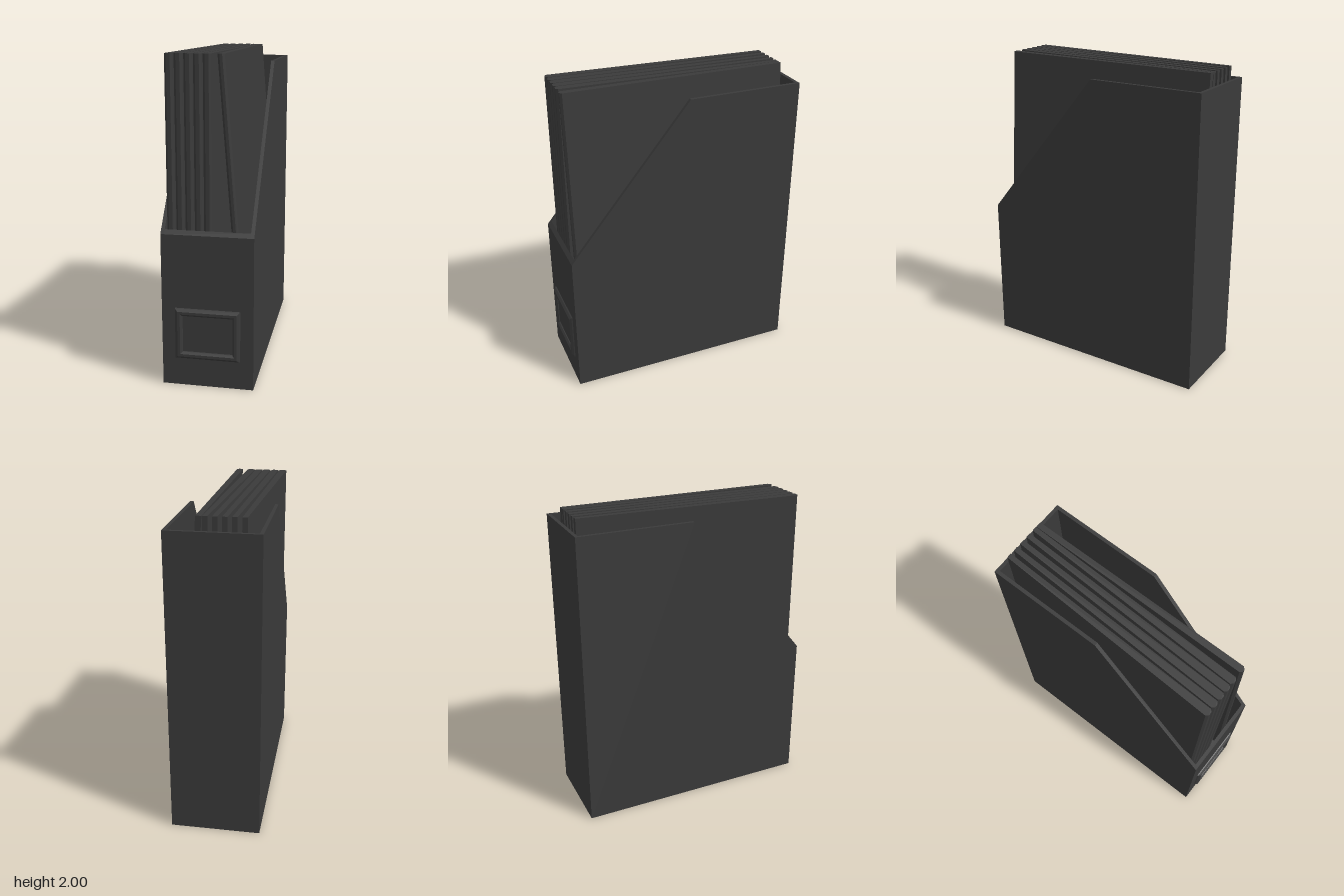
import * as THREE from 'three';

const material = new THREE.MeshStandardMaterial({ color: 0x3a3a3a, flatShading: true });
const W = 0.28, WALL = 0.022, FRONT = 0.755, BACK = -0.775, TOP = 1.92, LIP = 0.955;
const FLOOR = 0.025;

function add(group, name, geometry) {
  const mesh = new THREE.Mesh(geometry, material);
  mesh.name = name;
  group.add(mesh);
  return mesh;
}

const toShape = (points) => new THREE.Shape(points.map(([a, b]) => new THREE.Vector2(a, b)));

// Extrudes a (z, y) profile across x, from x0 to x1
function sideways(profile, x0, x1) {
  const geo = new THREE.ExtrudeGeometry(toShape(profile), { depth: x1 - x0, bevelEnabled: false });
  return geo.rotateY(-Math.PI / 2).translate(x1, 0, 0);
}

// Extrudes an (x, z) outline upwards from the floor to the given height
function upright(outline, height) {
  const shape = toShape(outline.map(([x, z]) => [x, -z]));
  const geo = new THREE.ExtrudeGeometry(shape, { depth: height - FLOOR, bevelEnabled: false });
  return geo.rotateX(-Math.PI / 2).translate(0, FLOOR, 0);
}

// Folder outline: wide spine with chamfered corners at the front, thin at the back
function folderOutline(frontL, frontR, backL, backR) {
  const z = 0.705, c = 0.013;
  return [
    [backL, -0.74], [frontL, z - c], [frontL + c, z],
    [frontR - c, z], [frontR, z - c], [backR, -0.74],
  ];
}

// Rectangular moulding: rings of [inset, z], closed by the recessed label panel
function labelGeometry(halfW, halfH, rings) {
  const pos = [], index = [];
  rings.forEach(([inset, z]) => {
    const x = halfW - inset, y = halfH - inset;
    pos.push(-x, -y, z, x, -y, z, x, y, z, -x, y, z);
  });
  for (let r = 0; r < rings.length - 1; r++) {
    for (let i = 0; i < 4; i++) {
      const a = r * 4 + i, b = r * 4 + (i + 1) % 4;
      index.push(a, b, b + 4, a, b + 4, a + 4);
    }
  }
  const n = (rings.length - 1) * 4;
  index.push(n, n + 1, n + 2, n, n + 2, n + 3);
  const geo = new THREE.BufferGeometry();
  geo.setAttribute('position', new THREE.Float32BufferAttribute(pos, 3));
  geo.setIndex(index);
  const flat = geo.toNonIndexed();
  flat.computeVertexNormals();
  return flat;
}

export function createModel() {
  const model = new THREE.Group();
  model.name = 'magazineFile';

  // Holder: two cut-away sides, front, back and floor
  const holder = new THREE.Group();
  holder.name = 'holder';
  model.add(holder);
  const profile = [[BACK, 0], [FRONT, 0], [FRONT, LIP], [-0.035, TOP], [BACK, TOP]];
  add(holder, 'leftSide', sideways(profile, W - WALL, W));
  add(holder, 'rightSide', sideways(profile, -W, -W + WALL));
  const inner = W - WALL;
  add(holder, 'frontPanel', sideways(
    [[FRONT - WALL, 0], [FRONT, 0], [FRONT, LIP], [FRONT - WALL, LIP + 0.025]], -inner, inner));
  add(holder, 'backPanel', sideways(
    [[BACK, 0], [BACK + WALL, 0], [BACK + WALL, TOP], [BACK, TOP]], -inner, inner));
  add(holder, 'floor', sideways(
    [[BACK + WALL, 0], [FRONT - WALL, 0], [FRONT - WALL, FLOOR], [BACK + WALL, FLOOR]], -inner, inner));

  // Label frame on the front
  const frame = add(model, 'labelFrame', labelGeometry(0.2, 0.162, [
    [0, FRONT], [0.004, 0.762], [0.018, 0.775], [0.034, 0.775], [0.046, 0.764], [0.048, 0.758],
  ]));
  frame.position.y = 0.337;

  // Standing folders, turned slightly so their backs fan towards +x
  const folders = new THREE.Group();
  folders.name = 'folders';
  model.add(folders);
  for (let i = 0; i < 5; i++) {
    const f = -0.253 + i * 0.056, b = -0.19 + i * 0.055;
    add(folders, 'folder' + (i + 1), upright(folderOutline(f, f + 0.049, b, b + 0.03), 2));
  }

  // Last folder leans: its foot slides towards +x
  const leaning = upright(folderOutline(0.055, 0.097, 0.062, 0.097), 2);
  const p = leaning.attributes.position;
  for (let i = 0; i < p.count; i++) {
    p.setX(i, p.getX(i) + 0.155 * (1 - p.getY(i) / 2));
  }
  leaning.computeVertexNormals();
  add(folders, 'leaningFolder', leaning);

  return model;
}
